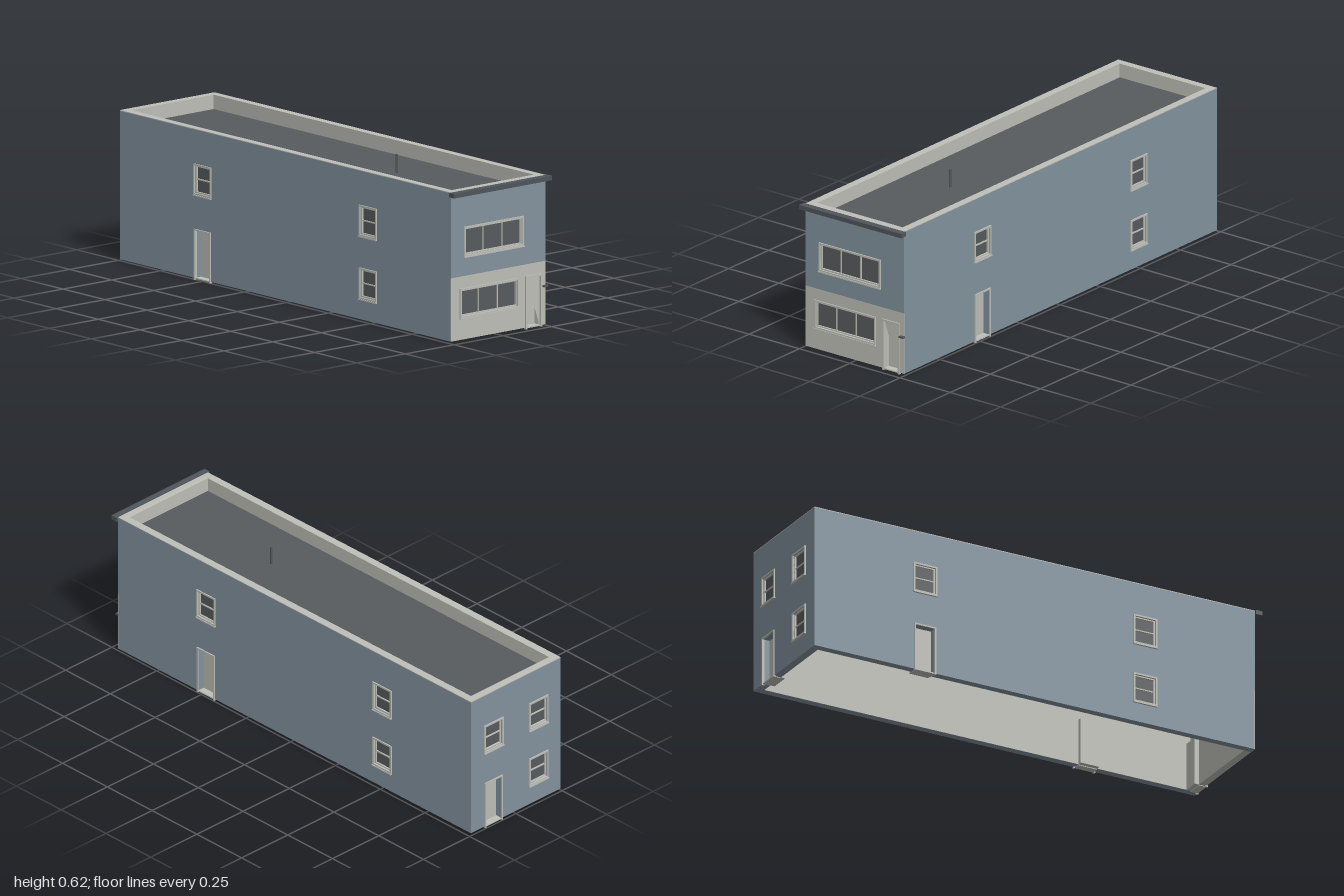
import * as THREE from 'three';

const mat = (name, color) => new THREE.MeshStandardMaterial({ name, color });

export function createModel() {
  const blue = mat('blueSiding', 0x8494a0);
  const cream = mat('creamTrim', 0xc0c0b9);
  const dark = mat('darkRoofAndGlass', 0x585c5e);
  const slate = mat('slateCornice', 0x50565b);

  const model = new THREE.Group();
  model.name = 'building';
  model.position.x = -0.0027;
  model.rotation.y = 0.0048; // the block sits very slightly askew

  const HALF = 0.244, FRONT = 0.97, BACK = -0.992, BASE = 0.006, TOP = 0.6, T = 0.03;

  function add(parent, name, geometry, material) {
    const mesh = new THREE.Mesh(geometry, material);
    mesh.name = name;
    parent.add(mesh);
    return mesh;
  }
  function box(parent, name, material, x0, x1, y0, y1, z0, z1) {
    const mesh = add(parent, name, new THREE.BoxGeometry(x1 - x0, y1 - y0, z1 - z0), material);
    mesh.position.set((x0 + x1) / 2, (y0 + y1) / 2, (z0 + z1) / 2);
    return mesh;
  }
  function rectPath(x0, x1, y0, y1, PathType = THREE.Path) {
    return new PathType([[x0, y0], [x1, y0], [x1, y1], [x0, y1]].map(p => new THREE.Vector2(...p)));
  }

  // Wall slab with window holes and an optional doorway notch; z0..z1 is its thickness
  function slab(parent, name, material, x0, x1, y0, y1, z0, z1, windows = [], door = null) {
    const pts = [[x0, y0]];
    if (door) pts.push([door.x0, y0], [door.x0, door.y1], [door.x1, door.y1], [door.x1, y0]);
    pts.push([x1, y0], [x1, y1], [x0, y1]);
    const shape = new THREE.Shape(pts.map(p => new THREE.Vector2(...p)));
    windows.forEach(w => shape.holes.push(rectPath(w.x0, w.x1, w.y0, w.y1)));
    const geometry = new THREE.ExtrudeGeometry(shape, { depth: z1 - z0, bevelEnabled: false });
    geometry.translate(0, 0, z0);
    return add(parent, name, geometry, material);
  }

  // Rectangular ring of trim
  function ring(parent, name, x0, x1, y0, y1, border, z0, z1) {
    slab(parent, name, cream, x0, x1, y0, y1, z0, z1,
      [{ x0: x0 + border, x1: x1 - border, y0: y0 + border, y1: y1 - border }]);
  }

  // Window in a hole: outer casing, inner sash, glass, glazing bars and sill
  function window_(parent, w) {
    const g = new THREE.Group();
    g.name = 'window';
    parent.add(g);
    const e = 0.007, { x0, x1, y0, y1 } = w;
    ring(g, 'windowCasing', x0 - e, x1 + e, y0 - e, y1 + e, e, -0.008, 0.005);
    ring(g, 'windowSash', x0, x1, y0, y1, 0.005, -0.014, -0.003);
    box(g, 'windowGlass', dark, x0, x1, y0, y1, -0.014, -0.010);
    for (let i = 1; i < w.columns; i++) {
      const x = x0 + (x1 - x0) * i / w.columns;
      box(g, 'glazingBar', cream, x - 0.002, x + 0.002, y0, y1, -0.012, -0.005);
    }
    for (let i = 1; i < w.rows; i++) {
      const y = y0 + (y1 - y0) * i / w.rows;
      box(g, 'glazingBar', cream, x0, x1, y - 0.0025, y + 0.0025, -0.012, -0.005);
    }
    box(g, 'windowSill', cream, x0 - e - 0.001, x1 + e + 0.001, y0 - e - 0.004, y0 - e + 0.001, -0.002, 0.008);
  }

  // Doorway: deep-set door leaf, jambs, head and threshold
  function door_(parent, d) {
    const g = new THREE.Group();
    g.name = 'door';
    parent.add(g);
    const e = d.casing, { x0, x1, y1 } = d;
    box(g, 'doorLeaf', cream, x0, x1, BASE, y1, -0.05, -0.028);
    box(g, 'doorJamb', cream, x0 - e, x0, 0, y1, -0.006, 0.005);
    box(g, 'doorJamb', cream, x1, x1 + e, 0, y1, -0.006, 0.005);
    box(g, 'doorHead', cream, x0 - e, x1 + e, y1, y1 + e, -0.006, 0.005);
    box(g, 'threshold', cream, x0, x1, 0.003, BASE + 0.002, -0.03, 0.002);
  }

  // Openings in each wall's own frame (x to the right, seen from outside)
  const sash = (x, y) => ({ x0: x - 0.045, x1: x + 0.045, y0: y - 0.055, y1: y + 0.055, columns: 1, rows: 2 });
  const plainDoor = x => ({ x0: x - 0.042, x1: x + 0.042, y1: 0.196, casing: 0.006 });
  const UP = 0.4, LOW = 0.15;

  function wallGroup(name, x, z, turn) {
    const g = new THREE.Group();
    g.name = name;
    g.position.set(x, 0, z);
    g.rotation.y = turn;
    model.add(g);
    return g;
  }
  function fit(g, windows, door, x0, x1) {
    windows.forEach(w => window_(g, w));
    if (door) door_(g, door);
    box(g, 'innerLining', cream, x0, x1, BASE, TOP - 0.003, -T - 0.002, -T);
  }

  // Long side walls and back wall
  const inner = HALF - T;
  const walls = [
    { name: 'leftWall', x: HALF, z: 0, turn: Math.PI / 2, x0: -FRONT + 0.002, x1: -BACK, s: 1,
      windows: [sash(-0.48, UP), sash(0.5, UP), sash(0.5, LOW)], door: plainDoor(-0.48) },
    { name: 'rightWall', x: -HALF, z: 0, turn: -Math.PI / 2, x0: BACK, x1: FRONT - 0.002,
      windows: [sash(-0.5, UP), sash(0.48, UP), sash(0.48, LOW)], door: plainDoor(-0.5) },
    { name: 'backWall', x: 0, z: BACK, turn: Math.PI, x0: -inner, x1: inner,
      windows: [sash(-0.122, UP), sash(0.122, UP), sash(0.122, LOW)], door: plainDoor(-0.122) },
  ];
  for (const w of walls) {
    const g = wallGroup(w.name, w.x, w.z, w.turn);
    slab(g, 'siding', blue, w.x0, w.x1, BASE, TOP - 0.003, -T, 0, w.windows, w.door);
    fit(g, w.windows, w.door, w.x0 + 0.002, w.x1 - 0.002);
  }

  // Front wall: cream shop floor below, blue siding above
  const split = 0.258;
  const shop = { x0: -0.192, x1: 0.098, y0: 0.099, y1: 0.203, columns: 3, rows: 1 };
  const upper = { x0: -0.17, x1: 0.122, y0: 0.342, y1: 0.447, columns: 3, rows: 1 };
  const entry = { x0: 0.147, x1: 0.215, y1: 0.203, casing: 0.009 };
  const front = wallGroup('frontWall', 0, FRONT, 0);
  slab(front, 'shopWall', cream, -inner, inner, BASE, split, -T, -0.002, [shop], entry);
  slab(front, 'shopFacing', cream, -HALF, HALF, BASE, split, -0.002, 0, [shop], entry);
  slab(front, 'upperWall', blue, -inner, inner, split, TOP - 0.003, -T, -0.002, [upper]);
  slab(front, 'upperFacing', blue, -HALF, HALF, split, TOP - 0.003, -0.002, 0, [upper]);
  fit(front, [shop, upper], entry, -inner, inner);
  box(front, 'doorLamp', slate, 0.226, 0.248, 0.156, 0.163, -0.001, 0.012);

  // Cornice, parapet coping, roof and vent pipe
  box(model, 'cornice', slate, -0.253, 0.253, 0.582, 0.6, FRONT, 0.999);
  const coping = slab(model, 'parapetCoping', cream, -HALF, HALF, -FRONT, -BACK, 0, 0.003,
    [{ x0: -inner + 0.002, x1: inner - 0.002, y0: -FRONT + T + 0.002, y1: -BACK - T - 0.002 }]);
  coping.rotation.x = -Math.PI / 2;
  coping.position.y = TOP - 0.003;
  box(model, 'roof', dark, -inner, inner, 0.535, 0.543, BACK + T, FRONT - T);
  const vent = add(model, 'ventPipe', new THREE.CylinderGeometry(0.005, 0.005, 0.077, 12), slate);
  vent.position.set(-0.002, 0.5795, 0.37);

  const root = new THREE.Group();
  root.name = 'model';
  root.add(model);
  return root;
}
